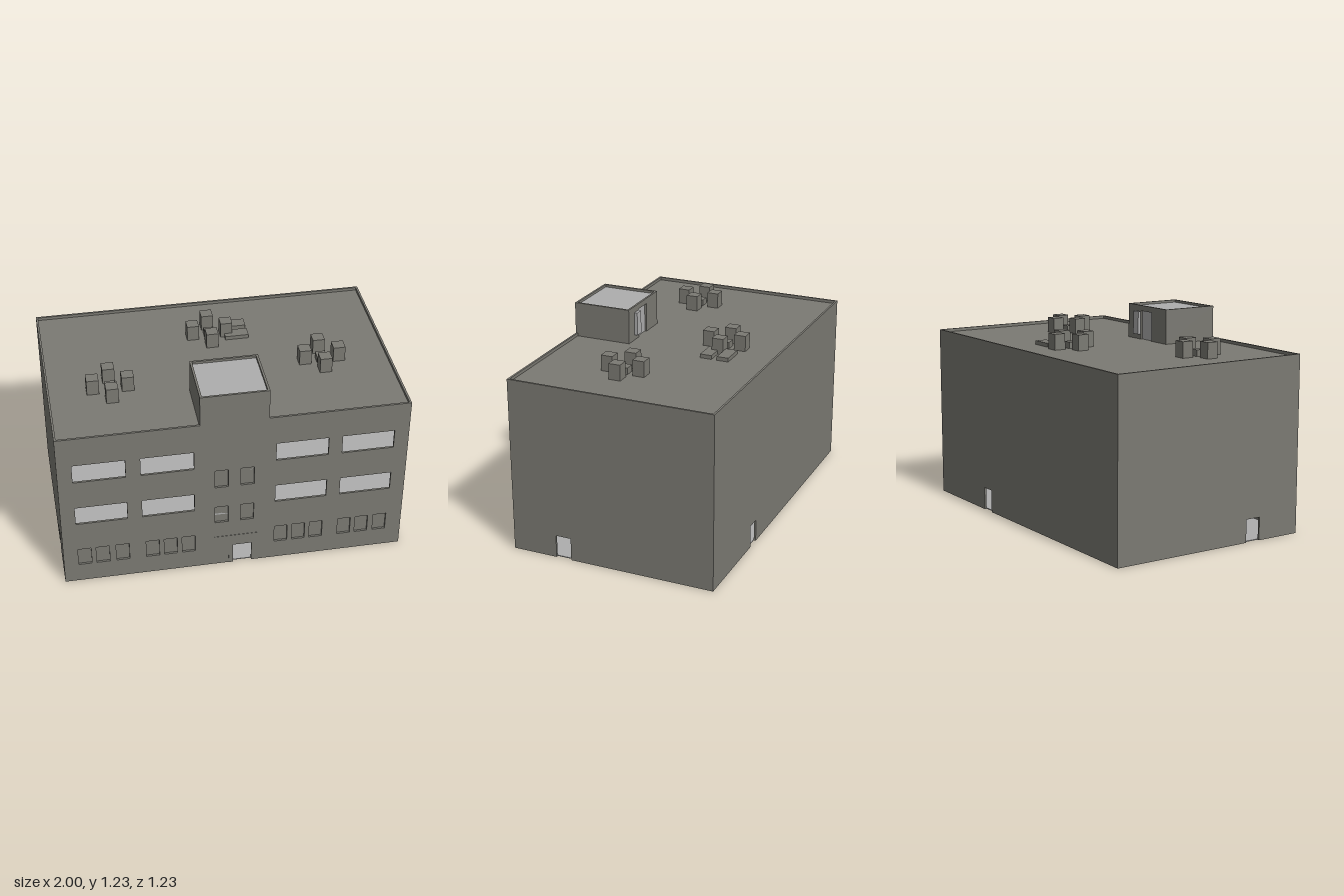
import * as THREE from 'three';

const concrete = new THREE.MeshStandardMaterial({ color: 0x7b7a73 });
concrete.name = 'concrete';
const paleGrey = new THREE.MeshStandardMaterial({ color: 0xaeaeae });
paleGrey.name = 'paleGrey';

const X = 1, Z = 0.615, H = 1.04, T = 0.012, ROOF = 1.022;

// Box given by its minimum and maximum on each axis
function block(parent, name, mat, [x0, x1], [y0, y1], [z0, z1]) {
  const m = new THREE.Mesh(new THREE.BoxGeometry(x1 - x0, y1 - y0, z1 - z0), mat);
  m.position.set((x0 + x1) / 2, (y0 + y1) / 2, (z0 + z1) / 2);
  m.name = name;
  parent.add(m);
  return m;
}

function polygon(points) {
  return new THREE.Shape(points.map(([x, y]) => new THREE.Vector2(x, y)));
}

function rectHole(x0, x1, y0, y1) {
  return new THREE.Path([[x0, y0], [x0, y1], [x1, y1], [x1, y0]].map(p => new THREE.Vector2(...p)));
}

function slab(parent, name, shape, depth) {
  const geo = new THREE.ExtrudeGeometry(shape, { depth, bevelEnabled: false });
  const m = new THREE.Mesh(geo, concrete);
  m.name = name;
  parent.add(m);
  return m;
}

// Wall outline with a doorway cut up from the ground
function doorWall(half, d0, d1, doorTop) {
  return polygon([[-half, 0], [d0, 0], [d0, doorTop], [d1, doorTop], [d1, 0], [half, 0], [half, H], [-half, H]]);
}

export function createModel() {
  const building = new THREE.Group();
  building.name = 'building';

  // Front wall, flush with the stair tower above it
  const front = polygon([[-X, 0], [-0.01, 0], [-0.01, 0.135], [0.1, 0.135], [0.1, 0], [X, 0],
    [X, H], [0.19, H], [0.19, 1.228], [-0.2, 1.228], [-0.2, H], [-X, H]]);
  const wide = [[-0.915, -0.62], [-0.535, -0.235], [0.235, 0.535], [0.615, 0.915]];
  for (const [a, b] of wide) {
    front.holes.push(rectHole(a, b, 0.735, 0.855), rectHole(a, b, 0.43, 0.55));
  }
  const small = [];
  const groundX = [-0.915, -0.81, -0.695, -0.52, -0.415, -0.31, 0.235, 0.34, 0.445, 0.615, 0.72, 0.83];
  for (const x of groundX) small.push([x, x + 0.077, 0.122, 0.238]);
  for (const x of [-0.117, 0.032]) {
    small.push([x, x + 0.078, 0.32, 0.437], [x, x + 0.078, 0.583, 0.705]);
  }
  for (const w of small) front.holes.push(rectHole(...w));
  slab(building, 'frontWall', front, T).position.z = Z - T;

  // Closed panels set back in the small windows
  for (const [a, b, c, d] of small) {
    block(building, 'windowPanel', concrete, [a - 0.005, b + 0.005], [c - 0.005, d + 0.005], [Z - T - 0.008, Z - T]);
  }

  // Thin entrance surround
  const surround = polygon([[-0.12, 0.055], [-0.035, 0.055], [-0.035, 0], [-0.01, 0], [-0.01, 0.135],
    [0.1, 0.135], [0.1, 0.19], [0.135, 0.19], [0.135, 0.21], [-0.12, 0.21]]);
  slab(building, 'entranceSurround', surround, 0.002).position.z = Z;

  // Back wall and side walls, each with a doorway
  slab(building, 'backWall', doorWall(X, 0.365, 0.45, 0.135), T).position.z = -Z;
  for (const side of [-1, 1]) {
    const wall = slab(building, 'sideWall', doorWall(Z - T, -0.345, -0.252, 0.135), T);
    wall.rotation.y = Math.PI / 2;
    wall.position.x = side > 0 ? X - T : -X;
  }

  // Floors and roof
  const insideX = [-X + T, X - T], insideZ = [-Z + T, Z - T];
  block(building, 'groundFloor', paleGrey, insideX, [0.001, 0.006], insideZ);
  for (const y of [0.385, 0.69]) block(building, 'upperFloor', paleGrey, insideX, [y - 0.015, y], insideZ);
  block(building, 'roof', concrete, insideX, [ROOF - 0.015, ROOF], insideZ);

  // Pale partitions at both ends of the middle storey
  for (const s of [-1, 1]) {
    block(building, 'partition', paleGrey, [s * 0.832 - 0.04, s * 0.832 + 0.04], [0.385, 0.675], [-0.56, -0.5]);
  }

  // Stair tower on the roof
  const tower = new THREE.Group();
  tower.name = 'stairTower';
  building.add(tower);
  const top = 1.228, back = 0.265;
  block(tower, 'towerSide', concrete, [-0.2, -0.187], [ROOF, top], [back, Z - T]);
  block(tower, 'towerSide', concrete, [0.177, 0.19], [ROOF, top], [back, Z - T]);
  const backShape = polygon([[-0.187, ROOF], [-0.05, ROOF], [-0.05, 1.195], [0.06, 1.195],
    [0.06, ROOF], [0.177, ROOF], [0.177, top], [-0.187, top]]);
  slab(tower, 'towerBack', backShape, T).position.z = back;
  block(tower, 'towerRoof', paleGrey, [-0.187, 0.177], [1.2, 1.213], [back + T, Z - T]);
  block(tower, 'towerFloor', paleGrey, [-0.187, 0.177], [ROOF, ROOF + 0.004], [back + T, Z - T]);
  block(tower, 'towerDoor', paleGrey, [-0.05, 0.06], [ROOF, 1.195], [back + T, back + T + 0.008]);
  block(tower, 'towerDoorLeaf', paleGrey, [0.062, 0.115], [ROOF + 0.03, 1.19], [back - 0.018, back]);

  // Rooftop units: four cubes around a low hub
  for (const [cx, cz] of [[-0.642, 0.17], [0.602, 0.09], [0.002, -0.27]]) {
    const cluster = new THREE.Group();
    cluster.name = 'roofUnits';
    cluster.position.set(cx, 0, cz);
    building.add(cluster);
    const r = 0.035;
    for (const [dx, dz] of [[0.1, 0], [-0.1, 0], [0, 0.097], [0, -0.097]]) {
      block(cluster, 'roofUnit', concrete, [dx - r, dx + r], [ROOF, 1.115], [dz - r, dz + r]);
    }
    block(cluster, 'unitHub', concrete, [-0.029, 0.029], [ROOF, 1.06], [-0.029, 0.029]);
  }

  // Low roof hatches beside the rear units
  for (const [a, b] of [[-0.375, -0.305], [-0.272, -0.202]]) {
    block(building, 'roofHatch', concrete, [0.09, 0.23], [ROOF, 1.045], [a, b]);
  }

  return building;
}
